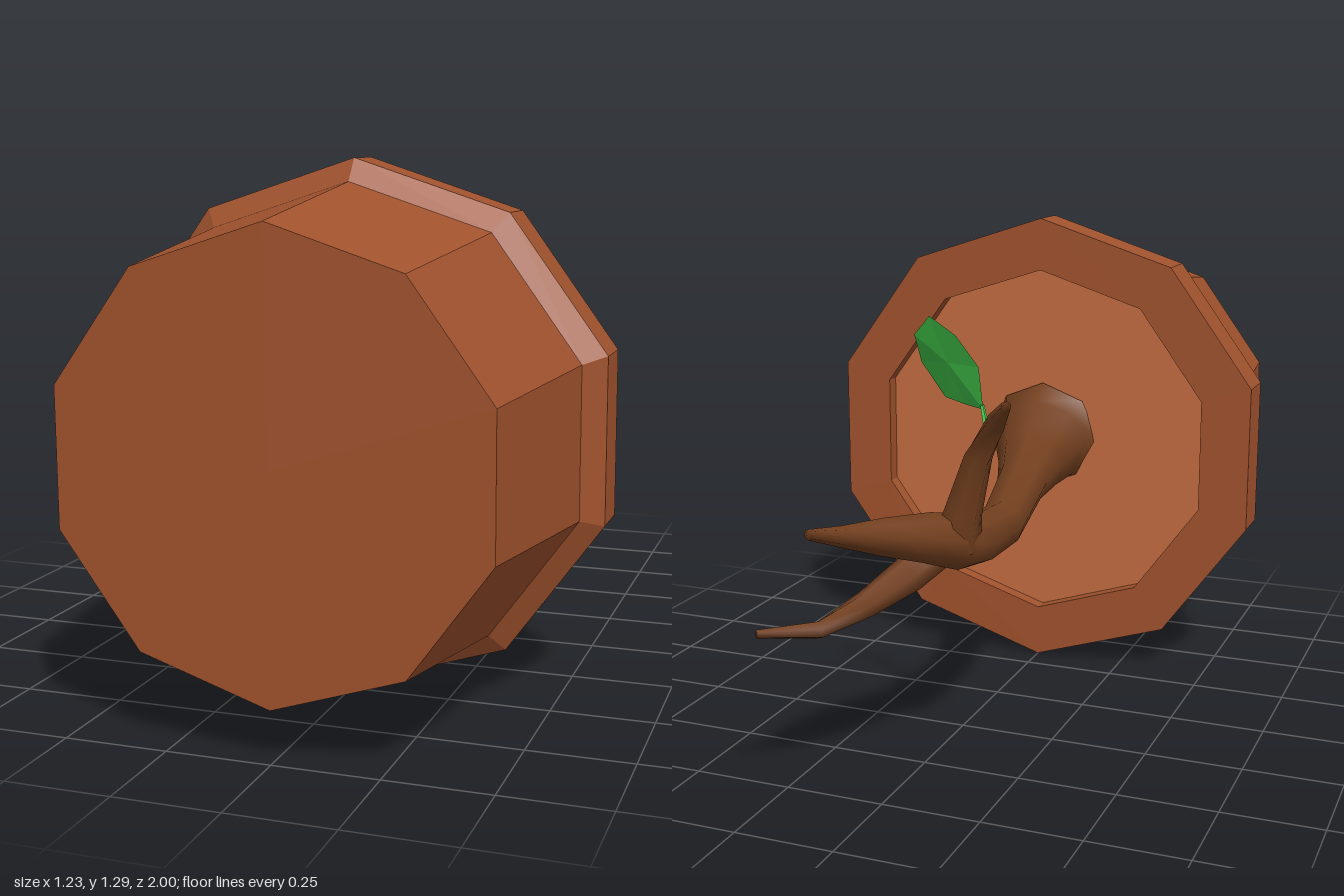
import * as THREE from 'three';

const potMat = new THREE.MeshStandardMaterial({ color: 0xa0522d, flatShading: true });
const soilMat = new THREE.MeshStandardMaterial({ color: 0xc46c40, flatShading: true });
const barkMat = new THREE.MeshStandardMaterial({ color: 0x74401f });
const leafMat = new THREE.MeshStandardMaterial({ color: 0x3fbf48, flatShading: true, side: THREE.DoubleSide });

function addMesh(group, name, geometry, material) {
  const mesh = new THREE.Mesh(geometry, material);
  mesh.name = name;
  group.add(mesh);
  return mesh;
}

// Tapered limb: rings of the given radius around points [x, y, z, radius], capped at the tip
function limb(points, sides = 8) {
  const centres = points.map(([x, y, z]) => new THREE.Vector3(x, y, z));
  const ref = new THREE.Vector3(1, 0, 0);
  const pos = [], idx = [];
  centres.forEach((c, i) => {
    const before = centres[Math.max(i - 1, 0)];
    const after = centres[Math.min(i + 1, centres.length - 1)];
    const t = after.clone().sub(before).normalize();
    const u = ref.clone().cross(t).normalize();
    const v = t.clone().cross(u);
    for (let j = 0; j < sides; j++) {
      const a = (j / sides) * Math.PI * 2, r = points[i][3];
      const p = c.clone().addScaledVector(u, r * Math.cos(a)).addScaledVector(v, r * Math.sin(a));
      pos.push(p.x, p.y, p.z);
    }
  });
  for (let i = 0; i < centres.length - 1; i++) {
    for (let j = 0; j < sides; j++) {
      const k = (j + 1) % sides;
      const a = i * sides + j, b = i * sides + k;
      idx.push(a, b, b + sides, a, b + sides, a + sides);
    }
  }
  const last = (centres.length - 1) * sides;
  for (let j = 1; j < sides - 1; j++) idx.push(last, last + j, last + j + 1);
  const g = new THREE.BufferGeometry();
  g.setAttribute('position', new THREE.Float32BufferAttribute(pos, 3));
  g.setIndex(idx);
  g.computeVertexNormals();
  return g;
}

export function createModel() {
  const model = new THREE.Group();
  model.name = 'pottedSapling';

  // Ten-sided pot lying on its side, with its mouth to the back
  const profile = [
    [0.5, 0.39], [0.5, 0.333], [0.645, 0.333], [0.645, 0.455],
    [0.59, 0.495], [0.522, 1], [0, 1],
  ].map(([r, h]) => new THREE.Vector2(r, h));
  const pot = addMesh(model, 'pot', new THREE.LatheGeometry(profile, 10), potMat);
  pot.rotation.x = Math.PI / 2;
  pot.position.y = 0.65;

  // Soil just inside the rim
  const soil = addMesh(model, 'soil', new THREE.CircleGeometry(0.5, 10, Math.PI / 2), soilMat);
  soil.rotation.y = Math.PI;
  soil.position.set(0, 0.65, 0.375);

  // Trunk running on into the middle branch
  addMesh(model, 'trunk', limb([
    [0, 0.66, 0.39, 0.165], [0, 0.65, 0.333, 0.132], [-0.025, 0.625, 0.2, 0.095],
    [-0.045, 0.6, 0.07, 0.069], [-0.09, 0.557, -0.2, 0.06], [-0.1, 0.57, -0.4, 0.063],
    [-0.1, 0.592, -0.5, 0.068], [-0.06, 0.625, -0.6, 0.06], [0, 0.653, -0.72, 0.044],
    [0.04, 0.685, -0.85, 0.024], [0.035, 0.73, -1, 0.012],
  ]), barkMat);

  // Side branches
  addMesh(model, 'upperBranch', limb([
    [-0.1, 0.6, -0.52, 0.06], [-0.125, 0.68, -0.54, 0.046], [-0.17, 0.82, -0.555, 0.034],
    [-0.235, 0.915, -0.61, 0.025], [-0.305, 0.98, -0.73, 0.012],
  ], 6), barkMat);
  addMesh(model, 'lowerBranch', limb([
    [-0.06, 0.585, -0.52, 0.05], [-0.01, 0.53, -0.61, 0.045], [0.06, 0.475, -0.69, 0.033],
    [0.14, 0.428, -0.77, 0.022], [0.24, 0.443, -0.885, 0.01],
  ], 6), barkMat);

  // Leaf and its stalk
  addMesh(model, 'leafStalk', limb([
    [-0.2, 0.88, -0.575, 0.008], [-0.175, 0.94, -0.545, 0.005],
  ], 5), leafMat);
  const outline = [
    [-0.18, 0.93, -0.55], [-0.12, 0.93, -0.51], [-0.06, 0.94, -0.49], [0, 1.02, -0.49],
    [0, 1.09, -0.53], [-0.05, 1.14, -0.557], [-0.12, 1.1, -0.568], [-0.175, 1.03, -0.565],
  ];
  const leafPos = [];
  outline.forEach((p, i) => leafPos.push(-0.085, 1.03, -0.535, ...p, ...outline[(i + 1) % outline.length]));
  const leafGeo = new THREE.BufferGeometry();
  leafGeo.setAttribute('position', new THREE.Float32BufferAttribute(leafPos, 3));
  leafGeo.computeVertexNormals();
  addMesh(model, 'leaf', leafGeo, leafMat);

  return model;
}
